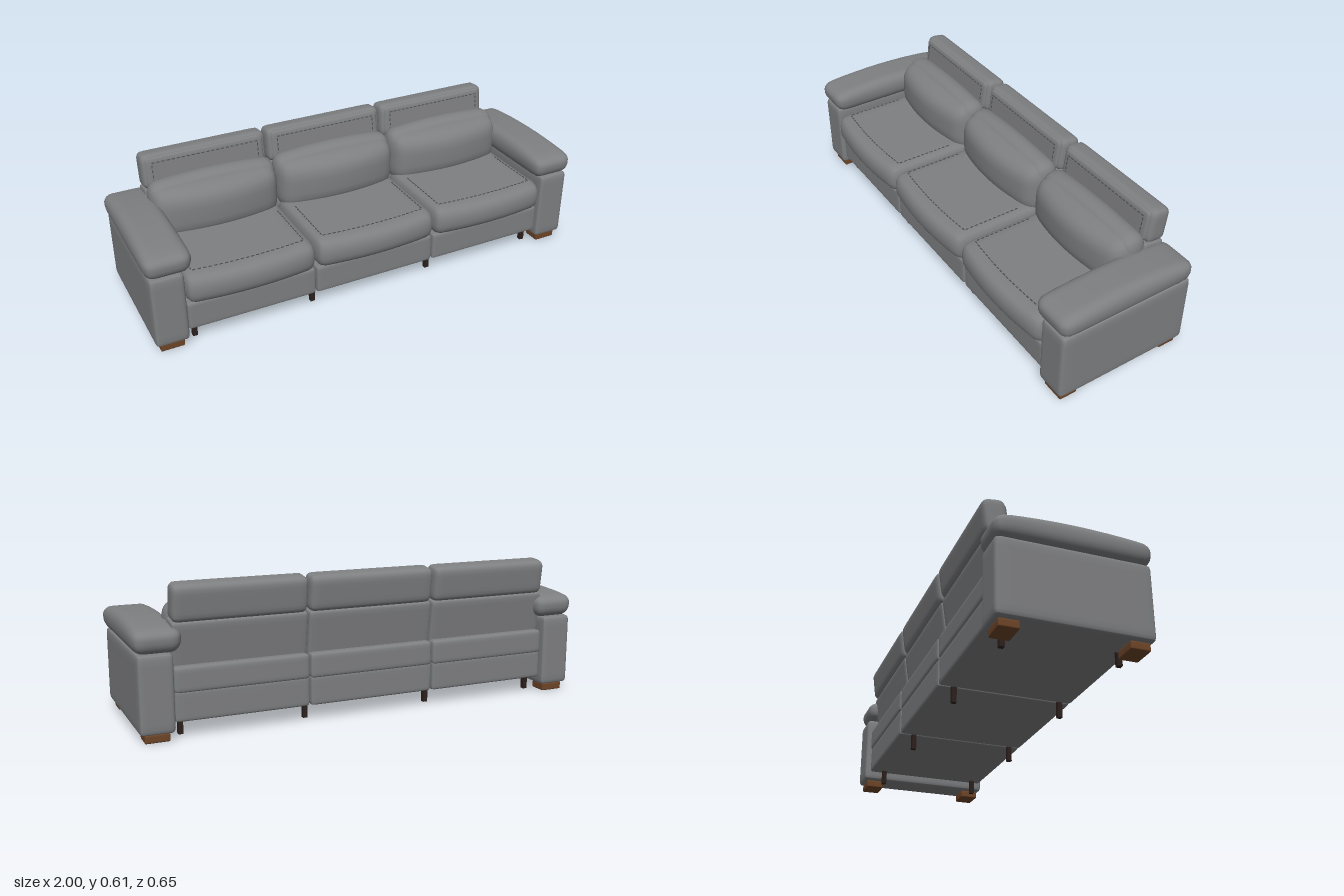
import * as THREE from 'three';
import { mergeVertices, mergeGeometries } from 'three/addons/utils/BufferGeometryUtils.js';

const mat = (name, color) => {
  const m = new THREE.MeshStandardMaterial({ color });
  m.name = name;
  return m;
};

// Rounded box with elliptical edge radii; bulge(v, u) may push points, u being -1..1 per axis
function softBox(size, radii, bulge) {
  const half = size.map((s) => s / 2);
  const g = new THREE.BoxGeometry(2, 2, 2, 18, 12, 14);
  g.deleteAttribute('uv');
  g.deleteAttribute('normal');
  const p = g.attributes.position;
  const v = new THREE.Vector3();
  const d = new THREE.Vector3();
  for (let i = 0; i < p.count; i++) {
    const core = [0, 1, 2].map((k) => {
      const a = Math.sin(p.getComponent(i, k) * Math.PI / 2) * half[k];
      const inner = half[k] - radii[k];
      const c = THREE.MathUtils.clamp(a, -inner, inner);
      d.setComponent(k, (a - c) / radii[k]);
      return c;
    });
    d.normalize();
    v.set(...core.map((c, k) => c + d.getComponent(k) * radii[k]));
    if (bulge) bulge(v, new THREE.Vector3(v.x / half[0], v.y / half[1], v.z / half[2]));
    p.setXYZ(i, v.x, v.y, v.z);
  }
  const merged = mergeVertices(g, 1e-5);
  merged.computeVertexNormals();
  return merged;
}

// Dashed seam along a list of corner points
function stitchLine(points, warp) {
  const path = new THREE.CurvePath();
  for (let i = 1; i < points.length; i++) {
    path.add(new THREE.LineCurve3(new THREE.Vector3(...points[i - 1]), new THREE.Vector3(...points[i])));
  }
  const n = Math.round(path.getLength() / 0.022);
  const z = new THREE.Vector3(0, 0, 1);
  const parts = [];
  for (let i = 0; i < n; i++) {
    const t = (i + 0.5) / n;
    const dash = new THREE.BoxGeometry(0.004, 0.004, 0.013);
    dash.applyQuaternion(new THREE.Quaternion().setFromUnitVectors(z, path.getTangent(t)));
    const at = path.getPoint(t);
    if (warp) warp(at);
    parts.push(dash.translate(at.x, at.y, at.z));
  }
  return mergeGeometries(parts);
}

export function createModel() {
  const leather = mat('grey leather', 0x7e7f81);
  const thread = mat('dark thread', 0x505153);
  const wood = mat('brown wood', 0x6e4528);
  const dark = mat('dark leg', 0x2c211e);
  const sofa = new THREE.Group();
  sofa.name = 'sofa';

  const add = (parent, name, geometry, material, x, y, z) => {
    const m = new THREE.Mesh(geometry, material);
    m.name = name;
    m.position.set(x, y, z);
    parent.add(m);
    return m;
  };

  // Shared geometries for the three seat sections
  const W = 0.558;
  const baseGeo = softBox([W, 0.125, 0.575], [0.012, 0.012, 0.012]);
  const seatBulge = (v, u) => { if (u.z > 0) v.z += 0.026 * u.z * (1 - u.x * u.x); };
  const seatGeo = softBox([W, 0.135, 0.45], [0.035, 0.06, 0.05], seatBulge);
  const seatSeam = stitchLine(
    [[-0.24, 0.068, -0.1], [-0.24, 0.068, 0.165], [0.24, 0.068, 0.165], [0.24, 0.068, -0.1]],
    (p) => { p.z += 0.026 * Math.max(p.z, 0) / 0.225 * (1 - (p.x / 0.279) ** 2); });
  const lumbarGeo = softBox([W, 0.23, 0.14], [0.05, 0.075, 0.07], (v, u) => {
    if (u.z > 0) v.z += 0.042 * u.z * (1 - u.x * u.x);
    if (u.y > 0) v.y += 0.008 * u.y * (1 - u.x * u.x);
  });
  const rollGeo = softBox([W + 0.004, 0.19, 0.12], [0.045, 0.055, 0.058], (v, u) => {
    if (u.y > 0) v.y += 0.018 * u.y * (1 - u.x * u.x);
  });
  const headGeo = softBox([W - 0.003, 0.152, 0.098], [0.025, 0.03, 0.032]);
  const headPadGeo = softBox([W - 0.035, 0.132, 0.03], [0.02, 0.02, 0.013]);
  const headSeam = stitchLine(
    [[-0.235, -0.05, 0], [-0.235, 0.042, 0], [0.235, 0.042, 0], [0.235, -0.05, 0]]);
  const backGeo = softBox([W, 0.22, 0.1], [0.012, 0.015, 0.015]);
  const backBandGeo = softBox([W, 0.105, 0.12], [0.014, 0.016, 0.016]);

  for (const i of [-1, 0, 1]) {
    const section = new THREE.Group();
    section.name = ['rightSection', 'middleSection', 'leftSection'][i + 1];
    section.position.x = i * 0.564;
    sofa.add(section);
    add(section, 'seatBase', baseGeo, leather, 0, 0.1305, -0.0125);
    add(section, 'seatCushion', seatGeo, leather, 0, 0.257, 0.073);
    add(section, 'seatStitching', seatSeam, thread, 0, 0.257, 0.073);
    add(section, 'lumbarCushion', lumbarGeo, leather, 0, 0.393, -0.135);
    add(section, 'lumbarRoll', rollGeo, leather, 0, 0.422, -0.155);
    // Back shell: recessed leaning panel above a band
    add(section, 'backPanel', backGeo, leather, 0, 0.355, -0.23).rotation.x = -0.14;
    add(section, 'backBand', backBandGeo, leather, 0, 0.235, -0.245);
    // Headrest leaning slightly backwards
    const head = new THREE.Group();
    head.name = 'headrest';
    head.position.set(0, 0.533, -0.26);
    head.rotation.x = -0.13;
    section.add(head);
    add(head, 'headrestBody', headGeo, leather, 0, 0, 0);
    add(head, 'headrestPad', headPadGeo, leather, 0, 0, 0.041);
    add(head, 'headrestStitching', headSeam, thread, 0, 0, 0.056);
  }

  // Arms with overhanging arched pads and wooden feet
  const armGeo = softBox([0.142, 0.315, 0.612], [0.018, 0.02, 0.02]);
  const padGeo = softBox([0.195, 0.115, 0.625], [0.045, 0.052, 0.05], (v, u) => {
    if (u.y > 0) v.y -= 0.022 * u.y * u.z * u.z;
  });
  const footGeo = softBox([0.1, 0.034, 0.08], [0.006, 0.006, 0.006]);
  for (const s of [-1, 1]) {
    const arm = new THREE.Group();
    arm.name = s > 0 ? 'leftArm' : 'rightArm';
    sofa.add(arm);
    add(arm, 'armPanel', armGeo, leather, s * 0.915, 0.191, -0.016);
    add(arm, 'armPad', padGeo, leather, s * 0.9025, 0.4025, -0.0115);
    for (const z of [0.232, -0.265]) add(arm, 'foot', footGeo, wood, s * 0.915, 0.017, z);
  }

  // Slim support legs under the seat sections
  const legGeo = new THREE.BoxGeometry(0.02, 0.07, 0.02);
  for (const x of [-0.81, -0.284, 0.284, 0.81]) {
    for (const z of [0.225, -0.235]) add(sofa, 'supportLeg', legGeo, dark, x, 0.038, z);
  }
  return sofa;
}
